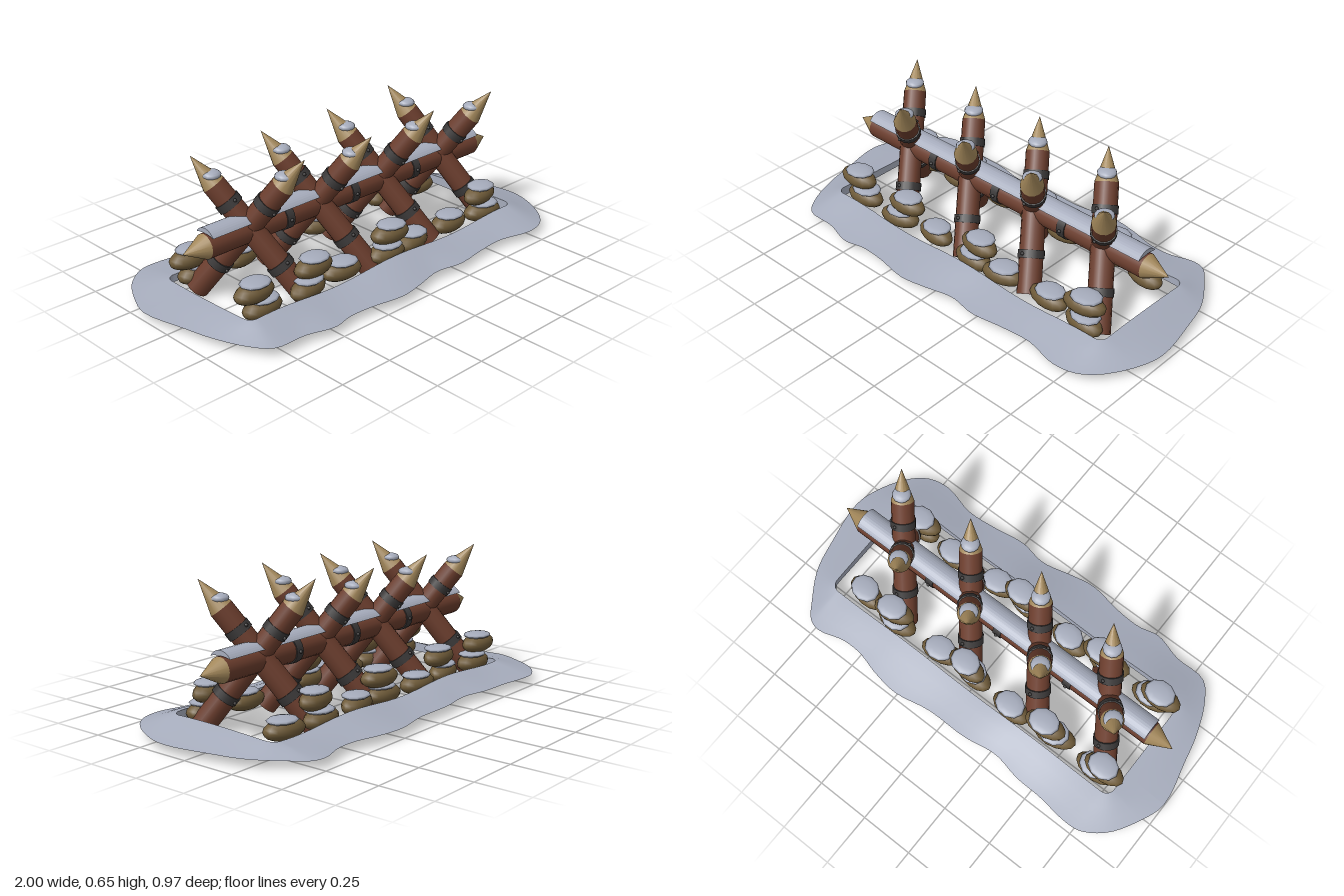
import * as THREE from 'three';
import { mergeGeometries } from 'three/addons/utils/BufferGeometryUtils.js';

const mat = (name, color, side = THREE.FrontSide) => {
  const m = new THREE.MeshStandardMaterial({ color, side });
  m.name = name;
  return m;
};

export function createModel() {
  const model = new THREE.Group();
  model.name = 'snowySpikeBarricade';
  const wood = mat('redBrownWood', 0x6b3d2d);
  const tipWood = mat('paleCutWood', 0xa2875a);
  const iron = mat('darkIron', 0x3a3838);
  const burlap = mat('burlap', 0x6f5b39);
  const snow = mat('snow', 0xa6acbc, THREE.DoubleSide);

  const add = (parent, name, geo, material, x = 0, y = 0, z = 0) => {
    const m = new THREE.Mesh(geo, material);
    m.name = name;
    m.position.set(x, y, z);
    parent.add(m);
    return m;
  };

  // Iron band around the local y axis, with a bolt on each side
  const addBand = (parent, y, r, width) => {
    add(parent, 'ironBand', new THREE.CylinderGeometry(r + 0.005, r + 0.005, width, 16), iron, 0, y, 0);
    for (const s of [-1, 1])
      add(parent, 'bolt', new THREE.SphereGeometry(0.008, 8, 6), iron, 0, y, s * (r + 0.006));
  };

  // Horizontal beam with pointed ends, lying along x
  const beam = new THREE.Group();
  beam.name = 'beam';
  beam.position.set(0.005, 0.32, -0.004);
  beam.rotation.z = -Math.PI / 2;
  model.add(beam);
  add(beam, 'beamLog', new THREE.CylinderGeometry(0.055, 0.055, 1.59, 16), wood);
  for (const s of [-1, 1]) {
    const tip = add(beam, 'beamTip', new THREE.ConeGeometry(0.055, 0.11, 16), tipWood, 0, s * 0.85, 0);
    if (s < 0) tip.rotation.x = Math.PI;
  }
  for (const x of [-0.38, 0, 0.38]) addBand(beam, x, 0.055, 0.04);

  // Snow crust resting on the beam
  const crust = new THREE.Shape();
  crust.moveTo(-0.054, 0.37);
  crust.quadraticCurveTo(-0.035, 0.398, 0, 0.4);
  crust.quadraticCurveTo(0.035, 0.398, 0.054, 0.37);
  crust.quadraticCurveTo(0, 0.385, -0.054, 0.37);
  const crustGeo = new THREE.ExtrudeGeometry(crust, { depth: 1.58, bevelEnabled: false, curveSegments: 6 });
  crustGeo.rotateY(Math.PI / 2);
  add(model, 'beamSnow', crustGeo, snow, -0.785, 0, -0.004);

  // Crossed stakes: each pair shares a slanted vertical plane
  const up = new THREE.Vector3(0, 1, 0);
  const addStake = (cx, s, tipY) => {
    const foot = new THREE.Vector3(cx - s * 0.14, 0.034, -s * 0.186);
    const tip = new THREE.Vector3(cx + s * 0.142, tipY, s * 0.188);
    const axis = tip.clone().sub(foot);
    const len = axis.length(), body = len - 0.15;
    const stake = new THREE.Group();
    stake.name = 'stake';
    stake.position.copy(foot);
    stake.quaternion.setFromUnitVectors(up, axis.normalize());
    model.add(stake);
    add(stake, 'stakeLog', new THREE.CylinderGeometry(0.051, 0.053, body, 14), wood, 0, body / 2, 0);
    add(stake, 'stakeTip', new THREE.ConeGeometry(0.051, 0.15, 14), tipWood, 0, body + 0.075, 0);
    addBand(stake, 0.17, 0.053, 0.036);
    addBand(stake, 0.51, 0.051, 0.036);
    // Snow clump settled on the shoulder of the point
    const p = foot.clone().addScaledVector(axis, body + 0.035);
    const clump = add(model, 'stakeSnow', new THREE.SphereGeometry(1, 12, 8), snow, p.x - s * 0.008, p.y + 0.015, p.z - s * 0.012);
    clump.scale.set(0.042, 0.02, 0.042);
  };
  [-0.56, -0.185, 0.195, 0.575].forEach((cx, i) => {
    addStake(cx, -1, [0.632, 0.637, 0.636, 0.65][i]);
    addStake(cx, 1, [0.645, 0.64, 0.655, 0.647][i]);
  });

  // Sandbags in two rows, each with a cap of snow
  const addBag = (x, y, z, turn) => {
    const bag = new THREE.Group();
    bag.name = 'sandbag';
    bag.position.set(x, y, z);
    bag.rotation.y = turn;
    model.add(bag);
    add(bag, 'bagBody', new THREE.SphereGeometry(1, 14, 10), burlap).scale.set(0.1, 0.045, 0.054);
    add(bag, 'bagSnow', new THREE.SphereGeometry(1, 10, 6), snow, 0.008, 0.04, 0).scale.set(0.072, 0.014, 0.06);
  };
  const rows = [
    { z: 0.2, low: [-0.67, -0.43, -0.22, 0.03, 0.2, 0.45, 0.66], high: [-0.71, -0.39, 0.06, 0.65] },
    { z: -0.215, low: [-0.67, -0.44, -0.21, 0.02, 0.2, 0.45, 0.65], high: [-0.71, -0.39, 0.05, 0.47] },
  ];
  for (const { z, low, high } of rows) {
    low.forEach((x, i) => addBag(x, 0.082, z + 0.012 * Math.sin(i * 2.3), 0.2 * Math.sin(i * 1.9 + z)));
    high.forEach((x, i) => addBag(x, 0.165, z, 0.15 * Math.sin(i * 2.7 + z)));
  }

  // Snow bank: irregular rim sloping up to a rounded rectangular opening
  const rim = [
    [-1, -0.15], [-0.96, -0.27], [-0.88, -0.4], [-0.78, -0.47], [-0.7, -0.478], [-0.55, -0.46], [-0.42, -0.455],
    [-0.28, -0.43], [-0.12, -0.453], [0.08, -0.455], [0.25, -0.485], [0.38, -0.47], [0.5, -0.44], [0.6, -0.44],
    [0.72, -0.472], [0.78, -0.455], [0.84, -0.38], [0.92, -0.25], [0.96, -0.1], [0.995, 0.12], [0.96, 0.25],
    [0.88, 0.38], [0.8, 0.44], [0.7, 0.455], [0.55, 0.42], [0.4, 0.43], [0.25, 0.45], [0.12, 0.43], [-0.02, 0.46],
    [-0.14, 0.48], [-0.3, 0.455], [-0.42, 0.45], [-0.52, 0.47], [-0.65, 0.435], [-0.8, 0.425], [-0.87, 0.34],
    [-0.93, 0.19], [-0.96, 0.06],
  ].map(([x, z]) => new THREE.Vector3(x, 0.04, z));
  const N = 144;
  const outer = new THREE.CatmullRomCurve3(rim, true).getPoints(N);
  const inner = outer.map((p) => {
    const c = new THREE.Vector3(THREE.MathUtils.clamp(p.x, -0.75, 0.76), 0.04, THREE.MathUtils.clamp(p.z, -0.24, 0.23));
    return c.addScaledVector(p.clone().sub(c).normalize(), 0.04);
  });
  const crest = inner.map((p) => new THREE.Vector3(p.x, 0.083 + 0.009 * Math.sin(p.x * 9 + p.z * 5), p.z));
  const slope = (t, rise) => outer.map((p, i) => {
    const q = p.clone().lerp(crest[i], t);
    q.y = 0.04 + (crest[i].y - 0.04) * rise;
    return q;
  });
  const strip = (...loops) => {
    const pos = loops.flatMap((l) => l.flatMap((p) => p.toArray()));
    const idx = [];
    for (let j = 0; j < loops.length - 1; j++)
      for (let i = 0; i < N; i++) {
        const a = j * (N + 1) + i, b = a + 1, c = a + N + 1, d = c + 1;
        idx.push(a, c, b, b, c, d);
      }
    const g = new THREE.BufferGeometry();
    g.setAttribute('position', new THREE.Float32BufferAttribute(pos, 3));
    g.setIndex(idx);
    g.computeVertexNormals();
    return g;
  };
  const bank = mergeGeometries([
    strip(outer, slope(0.33, 0.28), slope(0.66, 0.68), crest),
    strip(crest, inner),
    strip(inner, outer),
  ]);
  add(model, 'snowBank', bank, snow);

  return model;
}
